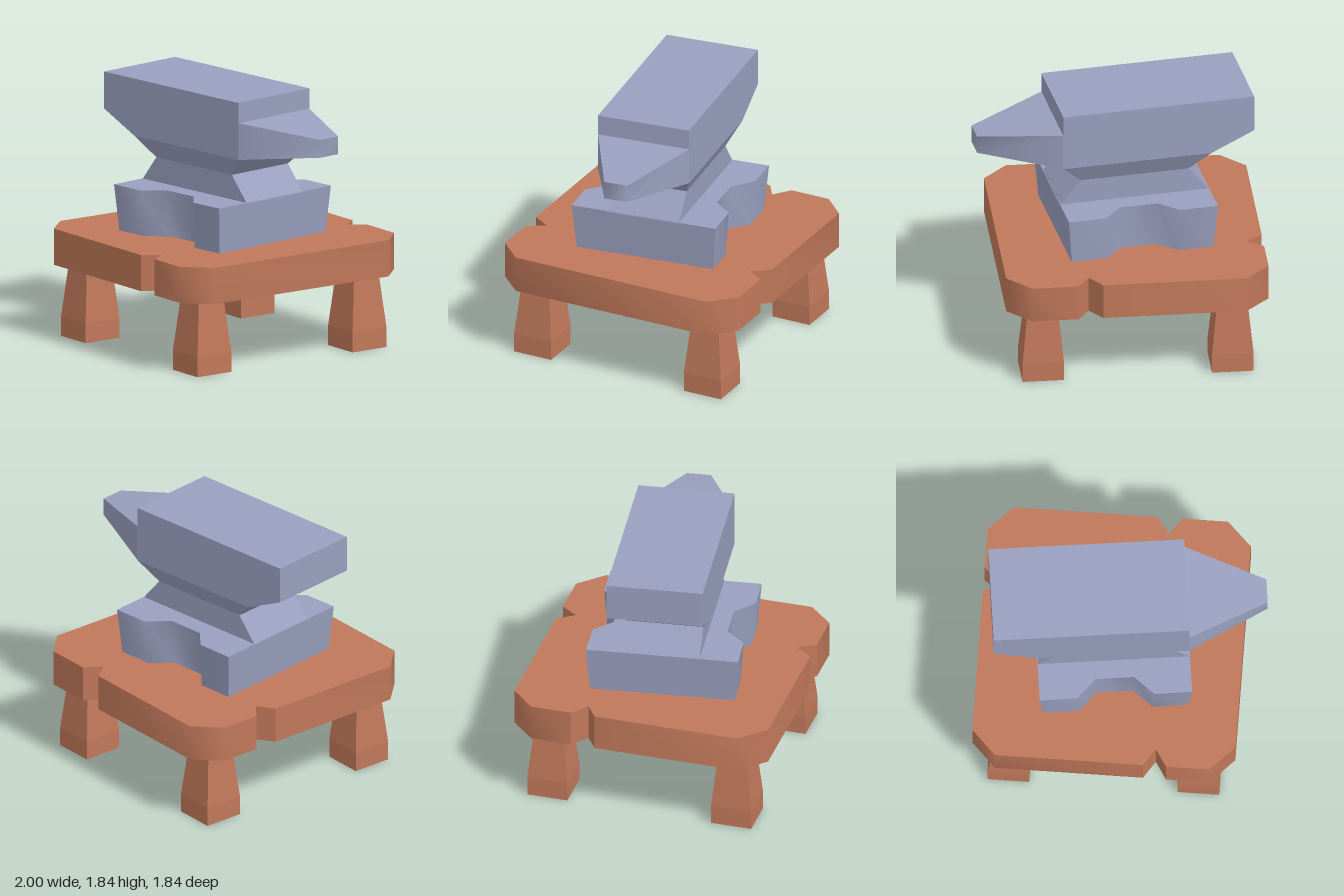
import * as THREE from 'three';
import { toCreasedNormals } from 'three/addons/utils/BufferGeometryUtils.js';

// Solid from horizontal rings of [x, z] points, listed from bottom to top.
function loft(rings, heights, crease) {
  const n = rings[0].length;
  const last = rings.length - 1;
  const pos = [];
  const put = (r, i) => pos.push(rings[r][i % n][0], heights[r], rings[r][i % n][1]);
  for (let r = 0; r < last; r++) {
    for (let i = 0; i < n; i++) {
      put(r, i); put(r + 1, i); put(r + 1, i + 1);
      put(r, i); put(r + 1, i + 1); put(r, i + 1);
    }
  }
  // end caps, turned to face outward
  for (const r of [0, last]) {
    const pts = rings[r].map(([x, z]) => new THREE.Vector2(x, z));
    for (const [a, b, c] of THREE.ShapeUtils.triangulateShape(pts, [])) {
      const facesDown = THREE.ShapeUtils.area([pts[a], pts[b], pts[c]]) > 0;
      const keep = facesDown === (r === 0);
      put(r, a); put(r, keep ? b : c); put(r, keep ? c : b);
    }
  }
  const geo = new THREE.BufferGeometry();
  geo.setAttribute('position', new THREE.Float32BufferAttribute(pos, 3));
  geo.computeVertexNormals();
  return crease ? toCreasedNormals(geo, crease) : geo;
}

const rect = (x0, x1, h) => [[x0, -h], [x1, -h], [x1, h], [x0, h]];

export function createModel() {
  const model = new THREE.Group();
  const wood = new THREE.MeshStandardMaterial({ color: 0xc0785a });
  wood.name = 'wood';
  const steel = new THREE.MeshStandardMaterial({ color: 0x999fbe });
  steel.name = 'steel';
  const add = (parent, name, geo, mat) => {
    const mesh = new THREE.Mesh(geo, mat);
    mesh.name = name;
    parent.add(mesh);
    return mesh;
  };

  // Table top with cut corners and three notches
  const table = new THREE.Group();
  table.name = 'table';
  model.add(table);
  const slab = [
    [-0.83, -0.92], [0.17, -0.92], [0.26, -0.8], [0.34, -0.92], [0.66, -0.92], [0.83, -0.75],
    [0.83, 0.74], [0.66, 0.915], [0.36, 0.915], [0.28, 0.79], [0.2, 0.915], [-0.83, 0.915],
    [-1, 0.74], [-1, -0.29], [-0.88, -0.37], [-1, -0.46], [-1, -0.75],
  ];
  add(table, 'tableTop', loft([slab, slab], [0.53, 0.787], 0.87), wood);

  // Four legs, straight at the foot and tapering upward
  const legGeo = loft([0.145, 0.145, 0.105].map((h) => rect(-h, h, h)), [0, 0.14, 0.535]);
  for (const [side, x] of [['Right', -0.745], ['Left', 0.577]]) {
    for (const [end, z] of [['front', 0.665], ['back', -0.665]]) {
      add(table, `${end}${side}Leg`, legGeo, wood).position.set(x, 0, z);
    }
  }

  // Anvil foot: notched on both long sides, flaring upward
  const footTop = [
    [-0.68, -0.45], [-0.41, -0.48], [-0.27, -0.37], [0, -0.4], [0.11, -0.55], [0.375, -0.585],
    [0.51, 0.47], [0.25, 0.505], [0.1, 0.39], [-0.165, 0.425], [-0.28, 0.575], [-0.54, 0.61],
  ];
  const footBottom = footTop.map(([x, z]) => [-0.085 + (x + 0.085) * 0.95, 0.012 + (z - 0.012) * 0.95]);
  add(model, 'anvilFoot', loft([footBottom, footTop], [0.785, 1.115], 0.87), steel);

  // Anvil upper part, turned slightly on the table
  const anvil = new THREE.Group();
  anvil.name = 'anvilUpper';
  anvil.position.set(-0.24, 0, 0.033);
  anvil.rotation.y = 0.126;
  model.add(anvil);

  // Waist and face block with an overhanging heel
  const body = [
    rect(-0.37, 0.69, 0.265), rect(-0.227, 0.539, 0.267), rect(-0.375, 0.68, 0.338),
    rect(-0.68, 0.68, 0.338), rect(-0.68, 0.68, 0.338),
  ];
  add(anvil, 'anvilBody', loft(body, [1.11, 1.29, 1.43, 1.573, 1.836]), steel);

  // Horn: a box narrowed toward its tip
  const horn = new THREE.BoxGeometry(1, 1, 1);
  const p = horn.attributes.position;
  for (let i = 0; i < p.count; i++) {
    const tip = p.getX(i) > 0;
    p.setXYZ(i,
      tip ? 1.238 : 0.678,
      1.561 + p.getY(i) * (tip ? 0.126 : 0.262),
      p.getZ(i) * (tip ? 0.17 : 0.676) - (tip ? 0.004 : 0));
  }
  horn.computeVertexNormals();
  add(anvil, 'anvilHorn', toCreasedNormals(horn, 1.2), steel);

  return model;
}
